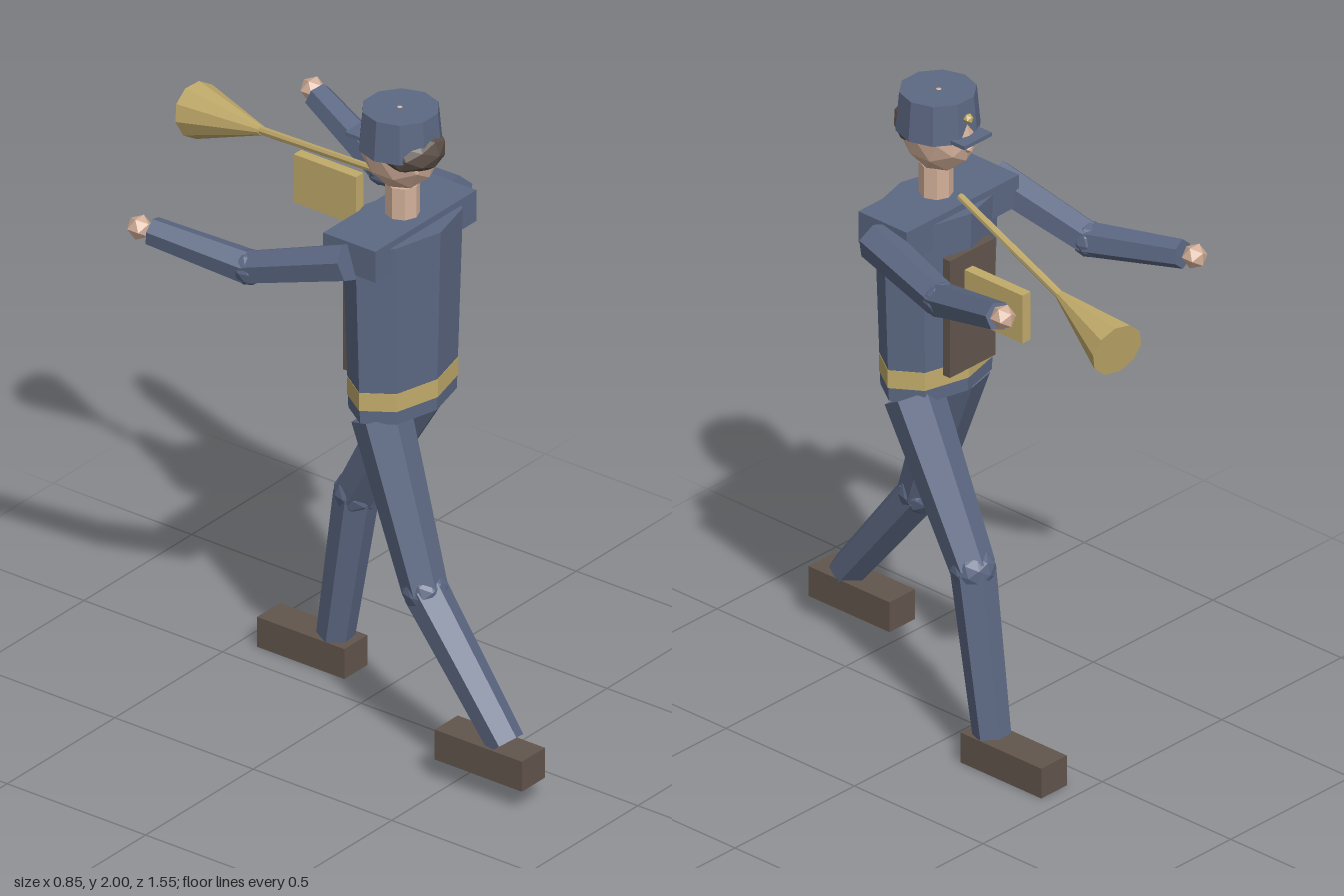
import * as THREE from 'three';

const mat = (name, color) => {
  const m = new THREE.MeshStandardMaterial({ color, flatShading: true });
  m.name = name;
  return m;
};

export function createModel() {
  const cloth = mat('blue cloth', 0x5c6883);
  const brass = mat('brass', 0xc2ab6b);
  const leather = mat('brown leather', 0x62564d);
  const hairBrown = mat('hair brown', 0x5c5048);
  const skin = mat('skin', 0xd3b09a);

  const root = new THREE.Group();
  root.name = 'marchingMusician';

  const add = (name, geo, material, x, y, z, parent = root) => {
    const m = new THREE.Mesh(geo, material);
    m.name = name;
    m.position.set(x, y, z);
    parent.add(m);
    return m;
  };
  const box = (name, material, [x, y, z], [w, h, d]) =>
    add(name, new THREE.BoxGeometry(w, h, d), material, x, y, z);
  // Faceted ball with separate radii
  const ball = (name, material, [x, y, z], [rx, ry, rz], detail = 1, parent = root) =>
    add(name, new THREE.IcosahedronGeometry(1, detail).scale(rx, ry, rz), material, x, y, z, parent);
  // Tapered prism running from a to b
  const limb = (name, material, a, b, ra, rb, sides = 6, parent = root) => {
    const p = new THREE.Vector3(...a), q = new THREE.Vector3(...b);
    const dir = q.clone().sub(p);
    const c = p.add(q).multiplyScalar(0.5);
    const m = add(name, new THREE.CylinderGeometry(rb, ra, dir.length(), sides), material, c.x, c.y, c.z, parent);
    m.quaternion.setFromUnitVectors(new THREE.Vector3(0, 1, 0), dir.normalize());
    return m;
  };

  const cx = -0.025, cz = 0.17;

  // Coat, belt, shoulders and chest panel (the figure faces -z)
  add('coat', new THREE.CylinderGeometry(1, 0.9, 0.58, 8).scale(0.22, 1, 0.137), cloth, cx, 1.35, cz);
  add('belt', new THREE.CylinderGeometry(1, 1, 0.058, 8).scale(0.203, 1, 0.127), brass, cx, 1.132, cz);
  box('shoulders', cloth, [cx, 1.61, 0.16], [0.47, 0.1, 0.188]);
  box('chestPanel', leather, [cx, 1.335, 0.042], [0.19, 0.38, 0.028]);

  // Neck, head and cap
  add('neck', new THREE.CylinderGeometry(0.05, 0.05, 0.13, 8), skin, cx, 1.695, cz);
  ball('head', skin, [cx, 1.873, 0.16], [0.1, 0.129, 0.125]);
  ball('hair', hairBrown, [cx, 1.885, 0.195], [0.105, 0.075, 0.108]);
  ball('nose', skin, [cx, 1.85, 0.043], [0.015, 0.015, 0.015], 0);
  add('cap', new THREE.CylinderGeometry(0.113, 0.124, 0.123, 10, 1, false, Math.PI / 2), cloth, cx, 1.9375, 0.163);
  box('capVisor', cloth, [cx, 1.885, 0.04], [0.115, 0.012, 0.066]);
  ball('capBadge', brass, [cx, 1.945, 0.045], [0.016, 0.016, 0.016], 0);

  // Legs in mid stride: hip, knee, ankle, shoe centre
  const legs = [
    ['rightLeg', [-0.13, 1.05, 0.175], [-0.165, 0.56, 0.36], [-0.188, 0.175, 0.67], [-0.19, 0.123, 0.613]],
    ['leftLeg', [0.085, 1.05, 0.155], [0.122, 0.6, -0.11], [0.14, 0.1, -0.2], [0.138, 0.05, -0.283]],
  ];
  for (const [name, hip, knee, ankle, shoe] of legs) {
    const g = new THREE.Group();
    g.name = name;
    root.add(g);
    limb('thigh', cloth, hip, knee, 0.088, 0.067, 6, g);
    ball('knee', cloth, knee, [0.068, 0.068, 0.068], 1, g);
    limb('shin', cloth, knee, ankle, 0.067, 0.056, 6, g);
    add('shoe', new THREE.BoxGeometry(0.107, 0.097, 0.315), leather, ...shoe, g);
  }

  // Arms reaching forward: shoulder, elbow, wrist, hand
  const arms = [
    ['leftArm', [0.23, 1.605, 0.17], [0.3, 1.56, -0.15], [0.385, 1.655, -0.455], [0.394, 1.665, -0.48]],
    ['rightArm', [-0.275, 1.605, 0.17], [-0.325, 1.505, -0.15], [-0.385, 1.547, -0.455], [-0.395, 1.55, -0.492]],
  ];
  for (const [name, shoulder, elbow, wrist, hand] of arms) {
    const g = new THREE.Group();
    g.name = name;
    root.add(g);
    limb('upperArm', cloth, shoulder, elbow, 0.06, 0.053, 6, g);
    ball('elbow', cloth, elbow, [0.053, 0.053, 0.053], 1, g);
    limb('forearm', cloth, elbow, wrist, 0.053, 0.044, 6, g);
    ball('hand', skin, hand, [0.038, 0.038, 0.038], 0, g);
  }

  // Horn: thin pipe, flared bell and flat side case
  const bellStart = [0.15, 1.636, -0.475];
  limb('hornPipe', brass, [0.035, 1.725, 0.02], bellStart, 0.011, 0.013, 8);
  limb('hornBell', brass, bellStart, [0.209, 1.585, -0.752], 0.014, 0.085, 10);
  box('hornCase', brass, [0.162, 1.523, -0.243], [0.034, 0.156, 0.225]);

  return root;
}
